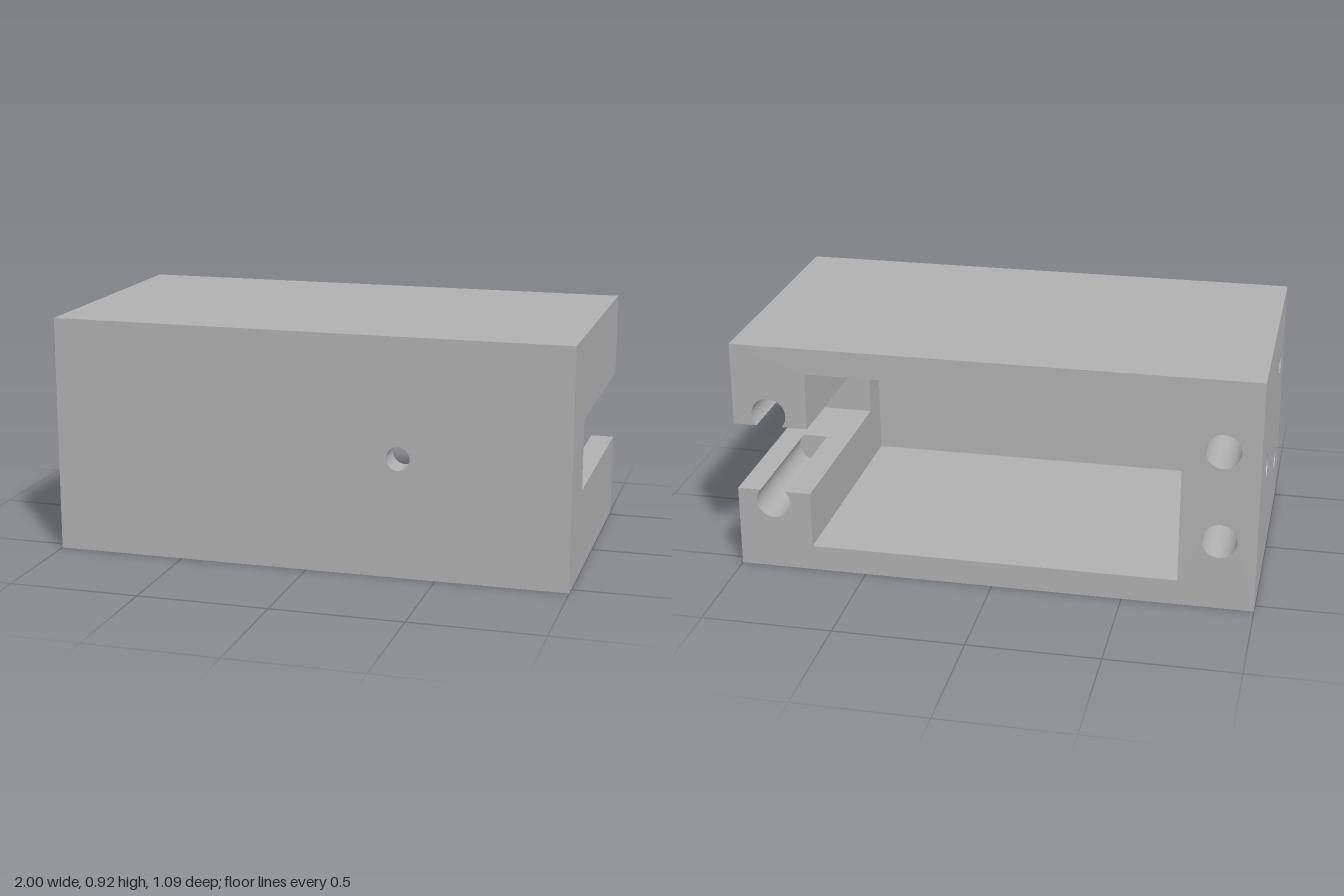
import * as THREE from 'three';

const H = 0.915, D = 0.545, MID = H / 2;      // outer height, half depth, mid height
const CX = 0.71, CY0 = 0.1, CY1 = H - 0.1;    // cavity half width, floor, ceiling
const CZ = 0.44;                              // inner face of the front wall
const SLOT = 0.135, SZ = 0.3;                 // slot half height, slot end
const BX = 0.86, BY = 0.18, BR = 0.067;       // bores in the back: x, offset from mid, radius
const HR = 0.045, HD = 0.2;                   // small holes: radius, depth
const A = Math.asin((BY - SLOT) / BR);        // where a bore breaks into the slot
const CH = BR * Math.cos(A);                  // half width of that opening
const PI = Math.PI;

const rect = (x0, y0, x1, y1) => poly([[x0, y0], [x1, y0], [x1, y1], [x0, y1]]);
const poly = (pts) => new THREE.Shape(pts.map(([x, y]) => new THREE.Vector2(x, y)));
const drill = (shape, x, y, r) => {
  shape.holes.push(new THREE.Path().absarc(x, y, r, 0, 2 * PI, true));
  return shape;
};

// Rotations turning a flat panel towards each side
const FACE = {
  front: [0, 0, 0], back: [0, PI, 0],
  left: [0, PI / 2, 0], right: [0, -PI / 2, 0],
  up: [-PI / 2, 0, 0], down: [PI / 2, 0, 0],
};

export function createModel() {
  const model = new THREE.Group();
  model.name = 'housing';
  const grey = new THREE.MeshStandardMaterial({ color: 0xb0b0b0, side: THREE.DoubleSide });
  grey.name = 'grey';

  const add = (name, geometry, pos, rot = [0, 0, 0]) => {
    const mesh = new THREE.Mesh(geometry, grey);
    mesh.name = name;
    mesh.position.set(...pos);
    mesh.rotation.set(...rot);
    model.add(mesh);
  };
  const panel = (name, shape, face, pos) =>
    add(name, new THREE.ShapeGeometry(shape, 24), pos, FACE[face]);
  // Open lining along z, optionally only an arc centred on "down"
  const lining = (r, length, half = PI) =>
    new THREE.CylinderGeometry(r, r, length, 40, 1, true, -half, 2 * half).rotateX(PI / 2);

  // Front wall with its through hole
  panel('frontFace', drill(rect(-1, 0, 1, H), 0.355, MID, HR), 'front', [0, 0, D]);
  panel('frontWallInside', drill(rect(-CX, CY0, CX, CY1), -0.355, MID, HR), 'back', [0, 0, CZ]);
  add('frontHole', lining(HR, D - CZ), [0.355, MID, (D + CZ) / 2]);

  // Top and bottom walls
  panel('topFace', rect(-1, -D, 1, D), 'up', [0, H, 0]);
  panel('bottomFace', rect(-1, -D, 1, D), 'down', [0, 0, 0]);
  panel('cavityFloor', rect(-CX, -CZ, CX, D), 'up', [0, CY0, 0]);
  panel('cavityCeiling', rect(-CX, -D, CX, CZ), 'down', [0, CY1, 0]);

  // Right wall with three blind holes
  const screwHoles = [[0.323, MID + 0.208], [0.323, MID - 0.208], [-0.228, MID]];
  const rightSide = rect(-D, 0, D, H);
  screwHoles.forEach(([z, y]) => {
    drill(rightSide, z, y, HR);
    add('screwHole', lining(HR, HD), [-1 + HD / 2, y, z], FACE.right);
    add('screwHoleEnd', new THREE.CircleGeometry(HR, 40), [-1 + HD, y, z], FACE.right);
  });
  panel('rightFace', rightSide, 'right', [-1, 0, 0]);
  panel('rightWallInside', rect(-CZ, CY0, D, CY1), 'left', [-CX, 0, 0]);

  // Left wall, notched by the slot that opens at the back
  const notched = (front, y0, y1) => poly([
    [-front, y0], [D, y0], [D, MID - SLOT], [-SZ, MID - SLOT],
    [-SZ, MID + SLOT], [D, MID + SLOT], [D, y1], [-front, y1],
  ]);
  panel('leftFace', notched(D, 0, H), 'left', [1, 0, 0]);
  const inside = new THREE.ShapeGeometry(notched(CZ, CY0, CY1)).scale(-1, 1, 1);
  inside.index.array.reverse();
  inside.computeVertexNormals();
  add('leftWallInside', inside, [CX, 0, 0], FACE.right);
  panel('slotEnd', rect(-1, MID - SLOT, -CX, MID + SLOT), 'back', [0, 0, SZ]);

  // Slot floor and ceiling, cut by the bores, and the groove left by each bore
  const ledge = (s) => poly([
    [CX, s * SZ], [CX, -s * D], [BX - CH, -s * D], [BX - CH, 0],
    [BX + CH, 0], [BX + CH, -s * D], [1, -s * D], [1, s * SZ],
  ]);
  panel('slotFloor', ledge(-1), 'up', [0, MID - SLOT, 0]);
  panel('slotCeiling', ledge(1), 'down', [0, MID + SLOT, 0]);
  const grooveCap = new THREE.Shape().absarc(0, 0, BR, PI - A, 2 * PI + A, false);
  for (const s of [-1, 1]) {
    const y = MID + s * BY, turn = [0, 0, s > 0 ? PI : 0];
    add('groove', lining(BR, D, PI / 2 + A), [BX, y, -D / 2], turn);
    add('grooveEnd', new THREE.ShapeGeometry(grooveCap, 24), [BX, y, 0], turn);
    // Matching closed bores in the right wall
    add('bore', lining(BR, D), [-BX, y, -D / 2]);
    add('boreEnd', new THREE.CircleGeometry(BR, 40), [-BX, y, 0], FACE.back);
  }

  // Back rim around the cavity, seen from behind (so x is mirrored)
  const rim = poly([[-1, 0], [1, 0], [1, H], [-1, H], [-1, MID + SLOT]]);
  rim.absarc(-BX, MID + BY, BR, PI + A, -A, true);
  [[-CX, MID + SLOT], [-CX, CY1], [CX, CY1], [CX, CY0], [-CX, CY0], [-CX, MID - SLOT]]
    .forEach(([x, y]) => rim.lineTo(x, y));
  rim.absarc(-BX, MID - BY, BR, A, PI - A, true);
  rim.lineTo(-1, MID - SLOT);
  drill(rim, BX, MID + BY, BR);
  drill(rim, BX, MID - BY, BR);
  panel('backRim', rim, 'back', [0, 0, -D]);

  return model;
}
